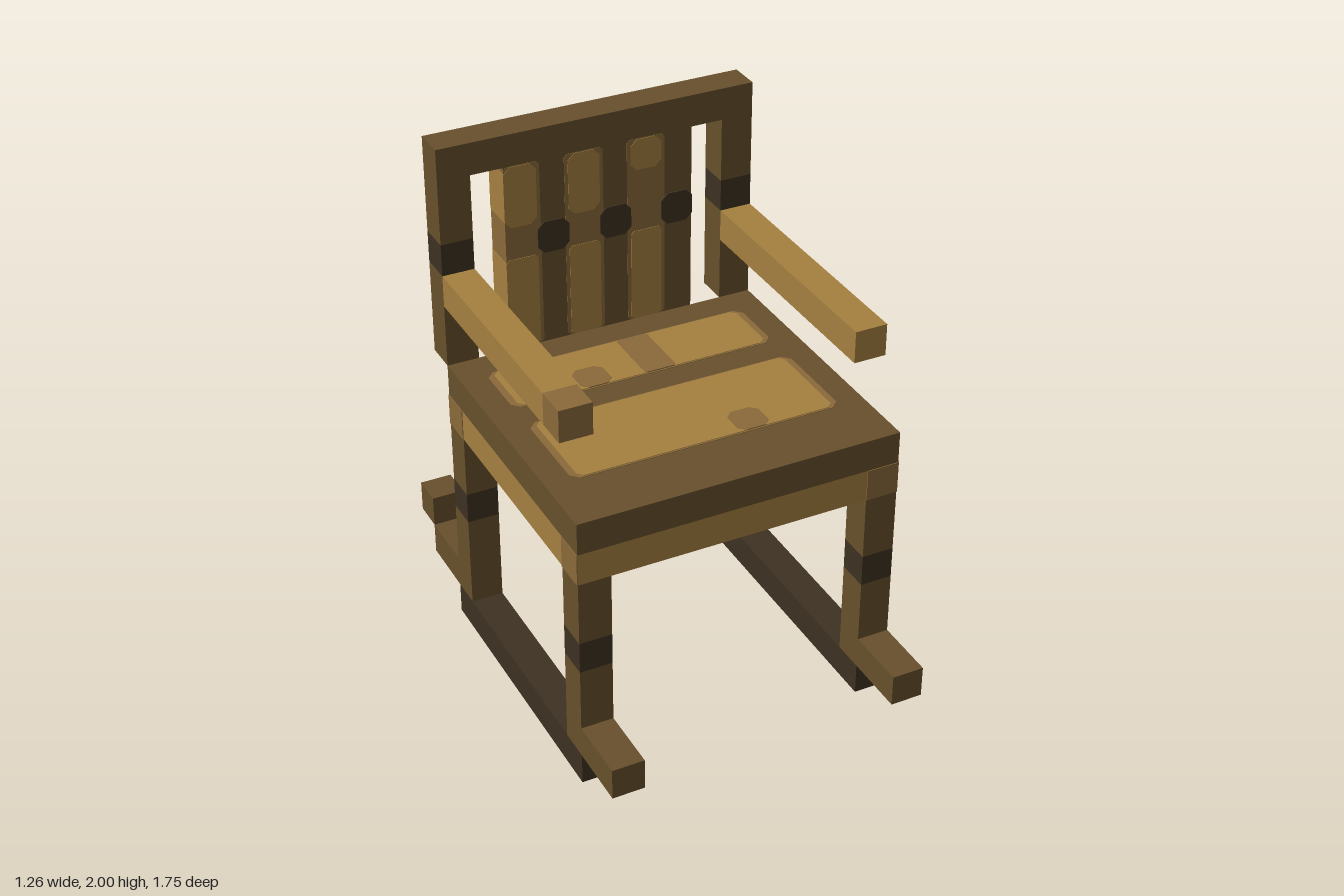
import * as THREE from 'three';

const material = (name, color) => {
  const m = new THREE.MeshStandardMaterial({ color });
  m.name = name;
  return m;
};

export function createModel() {
  const light = material('light oak', 0xa58040);
  const mid = material('medium oak', 0x8a6a3a);
  const dark = material('dark oak', 0x67502c);
  const deep = material('deep brown', 0x3e3122);

  const model = new THREE.Group();
  model.name = 'rockingChair';

  // Box given by its extents on each axis
  function block(name, mat, [x0, x1], [y0, y1], [z0, z1]) {
    const mesh = new THREE.Mesh(new THREE.BoxGeometry(x1 - x0, y1 - y0, z1 - z0), mat);
    mesh.position.set((x0 + x1) / 2, (y0 + y1) / 2, (z0 + z1) / 2);
    mesh.name = name;
    model.add(mesh);
    return mesh;
  }

  // Plate with clipped corners, centred on its own origin and facing +z
  function plate(name, mat, w, h, depth, clip) {
    const x = w / 2, y = h / 2;
    const shape = new THREE.Shape([
      [-x + clip, -y], [x - clip, -y], [x, -y + clip], [x, y - clip],
      [x - clip, y], [-x + clip, y], [-x, y - clip], [-x, -y + clip],
    ].map(([a, b]) => new THREE.Vector2(a, b)));
    const geo = new THREE.ExtrudeGeometry(shape, { depth, bevelEnabled: false });
    geo.translate(0, 0, -depth / 2);
    const mesh = new THREE.Mesh(geo, mat);
    mesh.name = name;
    model.add(mesh);
    return mesh;
  }

  // Inlay running right through the upright back panel
  function backInlay(name, mat, [x0, x1], [y0, y1], extra, clip) {
    plate(name, mat, x1 - x0, y1 - y0, 0.125 + extra, clip)
      .position.set((x0 + x1) / 2, (y0 + y1) / 2, -0.5625);
  }

  // Thin inlay lying flat at height y
  function flatInlay(name, mat, [x0, x1], [z0, z1], y, clip) {
    const mesh = plate(name, mat, x1 - x0, z1 - z0, 0.004, clip);
    mesh.rotation.x = -Math.PI / 2;
    mesh.position.set((x0 + x1) / 2, y, (z0 + z1) / 2);
  }

  // Parts repeated on the left and right
  for (const side of [-1, 1]) {
    const xs = side < 0 ? [-0.625, -0.5] : [0.5, 0.625];

    block('rocker', deep, xs, [0, 0.125], [-0.5, 0.625]);
    block('rockerFrontTip', dark, xs, [0.125, 0.25], [0.625, 0.875]);
    block('rockerBackTip', dark, xs, [0.125, 0.25], [-0.75, -0.5]);
    block('rockerBackEnd', dark, xs, [0.25, 0.375], [-0.875, -0.75]);

    for (const zs of [[0.5, 0.625], [-0.5, -0.375]]) {
      block('lowerLeg', dark, xs, [0.125, 0.5], zs);
      block('legBand', deep, xs, [0.5, 0.625], zs);
      block('upperLeg', dark, xs, [0.625, 0.875], zs);
    }

    block('lowerBackPost', dark, xs, [1.125, 1.5], [-0.625, -0.5]);
    block('backPostBand', deep, xs, [1.5, 1.625], [-0.625, -0.5]);
    block('upperBackPost', dark, xs, [1.625, 1.875], [-0.625, -0.5]);

    block('armrest', light, xs, [1.375, 1.5], [-0.5, side < 0 ? 0.375 : 0.5]);
    if (side < 0) block('armrestTip', mid, xs, [1.375, 1.5], [0.375, 0.5]);

    // Darker ends of the apron's side
    for (const zs of [[0.5, 0.625], [-0.5, -0.375]]) {
      block('apronSideEnd', mid, [side * 0.625 - 0.003, side * 0.625 + 0.003], [0.875, 1], zs);
    }
  }

  // Seat and apron
  block('seatApron', light, [-0.625, 0.625], [0.875, 1], [-0.5, 0.625]);
  block('apronFrontEnd', mid, [0.5, 0.625], [0.875, 1], [0.622, 0.628]);
  block('apronBackEnd', mid, [0.5, 0.625], [0.875, 1], [-0.503, -0.497]);
  block('seat', dark, [-0.625, 0.625], [1, 1.125], [-0.5, 0.625]);

  // Seat panels with a softer rim, and their knots
  for (const [z0, z1] of [[0, 0.375], [-0.375, -0.125]]) {
    flatInlay('seatPanelRim', mid, [-0.525, 0.525], [z0 - 0.006, z1 + 0.006], 1.125, 0.03);
    flatInlay('seatPanel', light, [-0.5, 0.5], [z0, z1], 1.127, 0.02);
  }
  flatInlay('seatKnot', mid, [-0.25, -0.125], [-0.25, -0.125], 1.129, 0.025);
  flatInlay('seatKnot', mid, [0, 0.125], [-0.375, -0.125], 1.129, 0.01);
  flatInlay('seatKnot', mid, [0.125, 0.25], [0.25, 0.375], 1.129, 0.025);

  // Dark grain under the seat
  for (const xs of [[0.15, 0.5], [-0.42, -0.1]]) {
    flatInlay('undersideGrain', dark, xs, [-0.12, 0], 0.875, 0.025);
  }

  // Backrest
  block('topRail', dark, [-0.625, 0.625], [1.875, 2], [-0.625, -0.5]);
  block('backPanel', dark, [-0.375, 0.375], [1.125, 1.875], [-0.625, -0.5]);
  [-0.375, -0.125, 0.125].forEach((x, i) => {
    const left = i === 0 ? x - 0.002 : x;
    backInlay('slatRim', mid, [i === 0 ? x - 0.001 : x - 0.014, x + 0.139], [1.126, 1.875], 0.003, 0.012);
    backInlay('lowerSlat', light, [left, x + 0.125], [1.127, 1.5], 0.007, 0.012);
    backInlay('upperSlat', light, [left, x + 0.125], [i === 2 ? 1.75 : 1.63, 1.873], 0.007, 0.025);
    backInlay('backKnot', deep, [x + 0.125, x + (i === 2 ? 0.251 : 0.25)], [1.5, 1.625], 0.01, 0.025);
  });

  return model;
}
